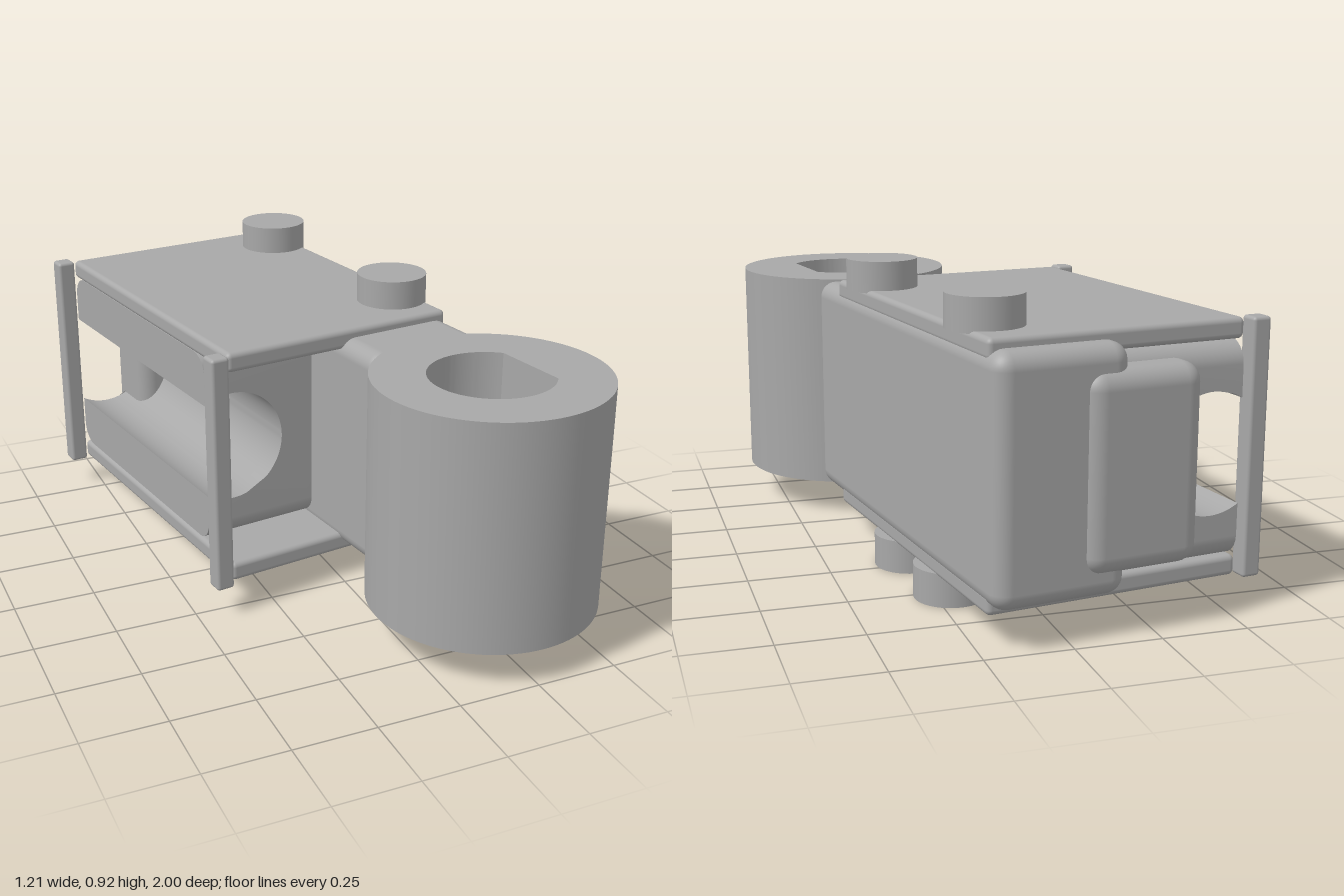
import * as THREE from 'three';
import { toCreasedNormals } from 'three/addons/utils/BufferGeometryUtils.js';
import { RoundedBoxGeometry } from 'three/addons/geometries/RoundedBoxGeometry.js';

export function createModel() {
  const grey = new THREE.MeshStandardMaterial({ color: 0xa8a8a8 });
  grey.name = 'grey';
  const model = new THREE.Group();
  model.name = 'hingedBracket';
  // The whole housing is turned slightly about the vertical axis
  const housing = new THREE.Group();
  housing.name = 'housing';
  housing.position.set(-0.08, 0, -0.34);
  housing.rotation.y = THREE.MathUtils.degToRad(8);
  model.add(housing);

  const add = (name, geometry, x, y, z, parent = housing) => {
    const mesh = new THREE.Mesh(geometry, grey);
    mesh.name = name;
    mesh.position.set(x, y, z);
    parent.add(mesh);
    return mesh;
  };
  // Rounded block given by its limits on each axis
  const block = (name, [x0, x1], [y0, y1], [z0, z1], r) =>
    add(name, new RoundedBoxGeometry(x1 - x0, y1 - y0, z1 - z0, 4, r),
      (x0 + x1) / 2, (y0 + y1) / 2, (z0 + z1) / 2);

  // Cover plates above and below
  block('topPlate', [-0.385, 0.385], [0.768, 0.828], [-0.557, 0.557], 0.016);
  block('bottomPlate', [-0.385, 0.385], [0.092, 0.152], [-0.557, 0.557], 0.016);

  // Upright bars at the open side
  for (const s of [-1, 1]) {
    const z = s * 0.557;
    block(s < 0 ? 'backBar' : 'frontBar', [-0.45, -0.393], [0.09, 0.83], [z - 0.029, z + 0.029], 0.01);
  }

  // Long arm that carries the sleeve, and the pad on the back
  block('arm', [0, 0.392], [0.115, 0.8], [-0.622, 0.746], 0.05);
  block('backPad', [-0.212, 0.14], [0.18, 0.735], [-0.645, -0.42], 0.055);

  // Channel block: C-shaped section with its top and bottom rounded at both ends
  const half = 0.308, r = 0.065, z0 = -0.57, z1 = 0.39, steps = 13;
  const c = new THREE.Shape();
  c.moveTo(-0.375, -half);
  c.lineTo(0.05, -half);
  c.lineTo(0.05, half);
  c.lineTo(-0.375, half);
  const a = Math.atan2(0.15, -0.09);
  c.absarc(-0.285, 0, 0.175, a, -a, true);
  const channel = new THREE.ExtrudeGeometry(c, { depth: 1, steps, bevelEnabled: false, curveSegments: 40 });
  const p = channel.attributes.position;
  for (let i = 0; i < p.count; i++) {
    const k = Math.round(p.getZ(i) * steps);
    const e = Math.min(k, steps - k, 6);
    const angle = (e / 6) * Math.PI / 2;
    const inset = r * (1 - Math.cos(angle));
    const limit = half - r + r * Math.sin(angle);
    p.setZ(i, k < steps / 2 ? z0 + inset : z1 - inset);
    p.setY(i, THREE.MathUtils.clamp(p.getY(i), -limit, limit));
  }
  add('channelBlock', toCreasedNormals(channel, 0.6), 0, 0.458, 0);

  // Sleeve with a D-shaped bore
  const ring = new THREE.Shape().absarc(0, 0, 0.345, 0, Math.PI * 2);
  const bore = new THREE.Path();
  const b = Math.acos(0.138 / 0.183);
  bore.absarc(0, 0, 0.183, b, Math.PI * 2 - b);
  bore.closePath();
  ring.holes.push(bore);
  const sleeve = new THREE.ExtrudeGeometry(ring, { depth: 0.693, bevelEnabled: false, curveSegments: 48 });
  sleeve.rotateX(-Math.PI / 2);
  add('sleeve', toCreasedNormals(sleeve, 0.6), 0.196, 0.112, 1.028);

  // Round pegs on the top and bottom plates
  const peg = (name, x, z, y0, y1) =>
    add(name, new THREE.CylinderGeometry(0.109, 0.109, y1 - y0, 48), x, (y0 + y1) / 2, z, model);
  peg('topBackPeg', 0.17, -0.745, 0.82, 0.916);
  peg('topFrontPeg', 0.274, -0.01, 0.82, 0.916);
  peg('bottomBackPeg', 0.202, -0.525, 0, 0.1);
  peg('bottomFrontPeg', 0.245, -0.222, 0, 0.1);

  return model;
}
